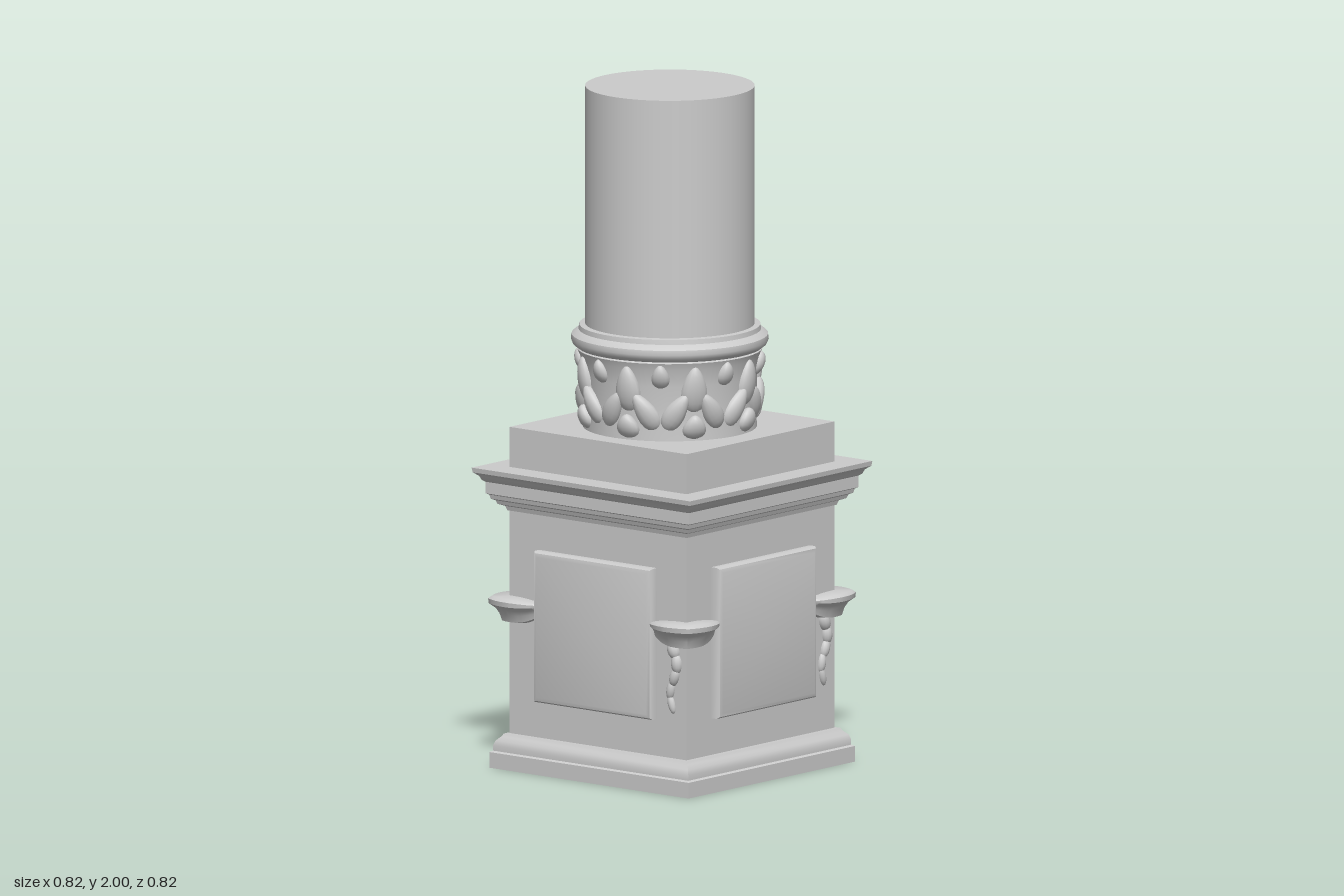
import * as THREE from 'three';
import { toCreasedNormals } from 'three/addons/utils/BufferGeometryUtils.js';

const grey = new THREE.MeshStandardMaterial({ color: 0xcccccc });
const greyThin = new THREE.MeshStandardMaterial({ color: 0xcccccc, side: THREE.DoubleSide });

const vec2 = (list) => list.map(([a, b]) => new THREE.Vector2(a, b));

function add(parent, name, geometry, material = grey) {
  const mesh = new THREE.Mesh(geometry, material);
  mesh.name = name;
  parent.add(mesh);
  return mesh;
}

// Square moulding: a four-sided lathe; the profile lists [half width, height]
function squareMoulding(profile) {
  const pts = vec2(profile.map(([r, y]) => [r * Math.SQRT2, y]));
  return toCreasedNormals(new THREE.LatheGeometry(pts, 4, Math.PI / 4), 0.6);
}

// Bracket wrapped round a corner: a shelf profile swept along an L-shaped path
function bracketGeometry() {
  const profile = [[0, 0], [0.85, 0], [1, 0.1], [0.97, 0.28], [0.7, 0.45], [0.55, 0.65], [0.45, 0.92], [0, 1]];
  const n = 32, m = profile.length - 1;
  const geo = new THREE.PlaneGeometry(1, 1, n, m);
  const pos = geo.attributes.position;
  const wall = 0.325, reach = 0.125;
  for (let j = 0; j <= m; j++) {
    for (let i = 0; i <= n; i++) {
      const s = (i / n) * 2 - 1;
      const a = Math.abs(s);
      const [out, down] = profile[j];
      const depth = 0.012 + 0.062 * Math.pow(1 - a * a, 0.7);
      const drop = 0.025 + 0.055 * (1 - Math.pow(a, 2.5));
      // The outward direction turns smoothly from one face to the other
      const turn = Math.PI / 4 * (1 - Math.max(-1, Math.min(1, s * 4)));
      const px = wall - Math.max(0, -s) * reach;
      const pz = wall - Math.max(0, s) * reach;
      pos.setXYZ(j * (n + 1) + i,
        px + Math.cos(turn) * depth * out,
        0.505 - down * drop - 0.012 * a * a,
        pz + Math.sin(turn) * depth * out);
    }
  }
  return toCreasedNormals(geo, 0.7);
}

// Leaf in relief, bent round the drum
function leafGeometry(angle, y, width, height, tilt, radius) {
  const geo = new THREE.SphereGeometry(1, 14, 10);
  const pos = geo.attributes.position;
  for (let i = 0; i < pos.count; i++) {
    const t = pos.getY(i);
    const lx = pos.getX(i) * width * (1 - 0.35 * t);
    const ly = t * height;
    const across = lx * Math.cos(tilt) - ly * Math.sin(tilt);
    const up = lx * Math.sin(tilt) + ly * Math.cos(tilt);
    const r = radius + pos.getZ(i) * 0.024 + 0.008 * t;
    const th = angle + across / radius;
    pos.setXYZ(i, Math.sin(th) * r, y + up, Math.cos(th) * r);
  }
  geo.computeVertexNormals();
  return geo;
}

export function createModel() {
  const model = new THREE.Group();
  model.name = 'columnOnPedestal';

  // Pedestal
  const pedestal = new THREE.Group();
  pedestal.name = 'pedestal';
  model.add(pedestal);
  add(pedestal, 'plinth', squareMoulding([
    [0, 0], [0.375, 0], [0.375, 0.046], [0.367, 0.05], [0.367, 0.066], [0.362, 0.08], [0.35, 0.092], [0.345, 0.1], [0, 0.1],
  ])).position.set(-0.004, 0, 0.004);
  add(pedestal, 'body', new THREE.BoxGeometry(0.666, 0.72, 0.666)).position.y = 0.44;
  add(pedestal, 'cornice', squareMoulding([
    [0, 0.755], [0.338, 0.755], [0.342, 0.768], [0.358, 0.774], [0.362, 0.785], [0.372, 0.79], [0.375, 0.802],
    [0.383, 0.806], [0.383, 0.84], [0.39, 0.845], [0.396, 0.858], [0.409, 0.868], [0.411, 0.882], [0, 0.884],
  ]));
  add(pedestal, 'topBlock', new THREE.BoxGeometry(0.666, 0.13, 0.666)).position.y = 0.935;

  // Side panels: plain on the front and right, framed on the left and back
  const plain = squareMoulding([[0.222, 0], [0.222, 0.02], [0.217, 0.028], [0.206, 0.032], [0, 0.033]]);
  const framed = squareMoulding([
    [0.222, 0], [0.222, 0.016], [0.216, 0.024], [0.203, 0.026], [0.198, 0.04], [0.188, 0.043], [0.182, 0.038],
    [0.18, 0.026], [0, 0.026],
  ]);
  [plain, framed, framed, plain].forEach((geometry, k) => {
    const side = new THREE.Group();
    side.name = 'panelSide';
    side.rotation.y = k * Math.PI / 2;
    const panel = add(side, geometry === plain ? 'plainPanel' : 'framedPanel', geometry);
    panel.rotation.x = Math.PI / 2;
    panel.position.set(0, 0.43, 0.333);
    pedestal.add(side);
  });

  // Corner brackets
  const bracket = bracketGeometry();
  for (let k = 0; k < 4; k++) {
    add(pedestal, 'cornerBracket', bracket, greyThin).rotation.y = k * Math.PI / 2;
  }

  // Hanging drops below two of the brackets
  const bead = new THREE.SphereGeometry(1, 12, 8);
  [0, -Math.PI / 2].forEach((turn) => {
    const drop = new THREE.Group();
    drop.name = 'hangingDrop';
    drop.rotation.y = turn;
    for (let i = 0; i < 5; i++) {
      const part = add(drop, 'dropLeaf', bead);
      part.scale.set(0.02 - i * 0.002, 0.03, 0.02 - i * 0.002);
      part.position.set(0.285 + 0.012 * Math.sin(i * 1.4), 0.42 - i * 0.04, 0.333);
      part.rotation.z = 0.35 * Math.cos(i * 1.4);
    }
    pedestal.add(drop);
  });

  // Column, set slightly off the pedestal's middle
  const column = new THREE.Group();
  column.name = 'column';
  column.position.set(-0.018, 0, 0.007);
  model.add(column);
  add(column, 'shaft', new THREE.CylinderGeometry(0.245, 0.245, 1.01, 64)).position.y = 1.495;
  add(column, 'drum', toCreasedNormals(new THREE.LatheGeometry(vec2([
    [0.252, 0.995], [0.25, 1.05], [0.252, 1.16], [0.26, 1.21], [0.268, 1.23], [0.245, 1.24],
  ]), 48), 0.7));
  add(column, 'collar', toCreasedNormals(new THREE.LatheGeometry(vec2([
    [0.245, 1.232], [0.268, 1.235], [0.281, 1.245], [0.286, 1.258], [0.284, 1.272], [0.272, 1.282],
    [0.264, 1.286], [0.262, 1.3], [0.244, 1.302],
  ]), 48), 0.7));

  // Leaf band: an upright leaf, two leaning leaves and a boss, repeated
  const band = new THREE.Group();
  band.name = 'leafBand';
  column.add(band);
  const repeats = 8;
  for (let k = 0; k < repeats; k++) {
    const a = (k + 0.25) / repeats * Math.PI * 2;
    const half = Math.PI / repeats;
    add(band, 'uprightLeaf', leafGeometry(a, 1.15, 0.038, 0.068, 0, 0.252));
    for (const s of [-1, 1]) {
      add(band, 'leaningLeaf', leafGeometry(a + s * half * 0.55, 1.085, 0.03, 0.062, s * 0.55, 0.25));
    }
    add(band, 'smallLeaf', leafGeometry(a + half, 1.19, 0.026, 0.036, 0, 0.253));
    add(band, 'boss', leafGeometry(a, 1.04, 0.034, 0.036, 0, 0.252));
  }
  return model;
}
